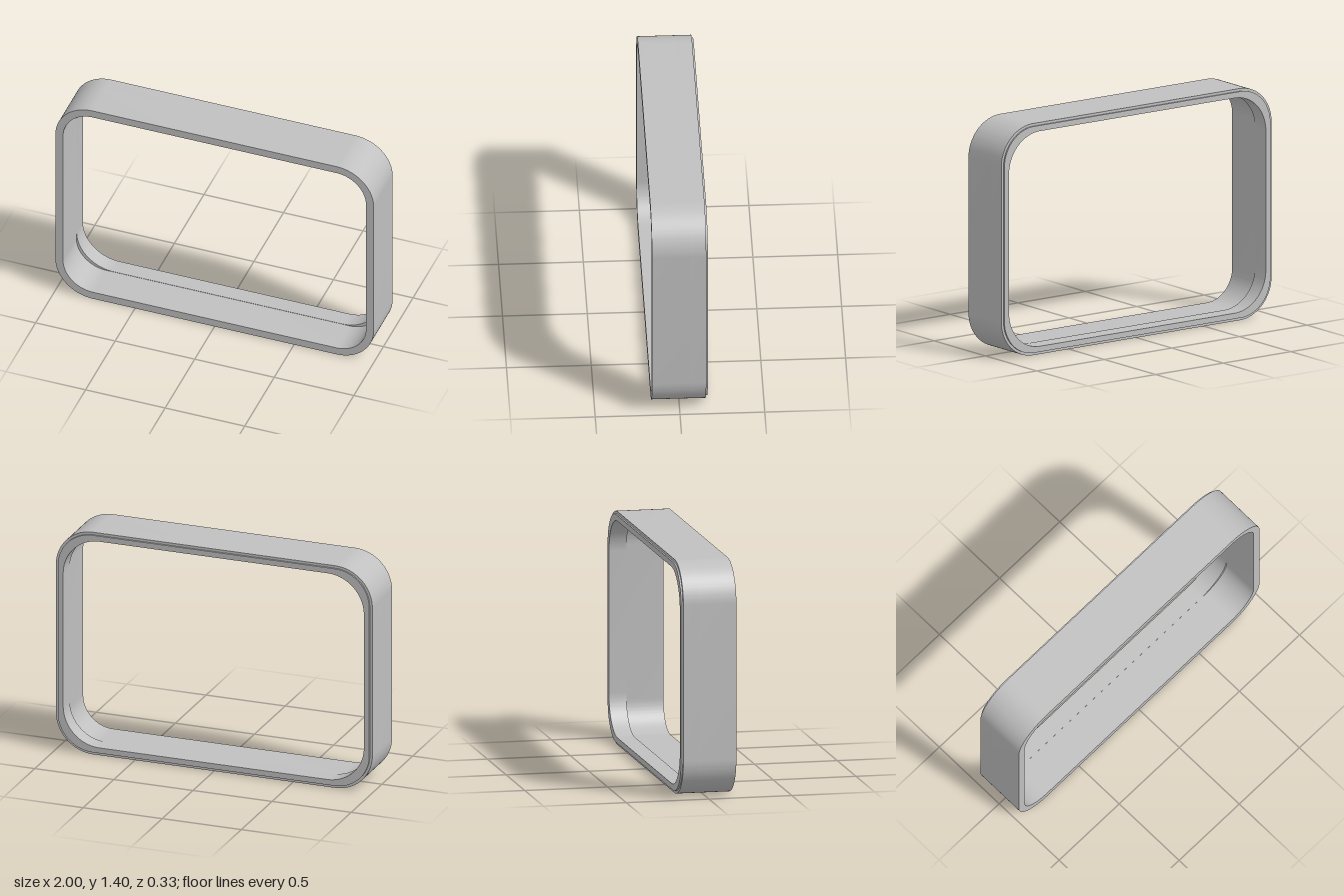
import * as THREE from 'three';
import { toCreasedNormals } from 'three/addons/utils/BufferGeometryUtils.js';

const WIDTH = 2, HEIGHT = 1.4, RADIUS = 0.235;

// Rounded rectangle inset from the outer outline
function roundedRect(path, inset, r) {
  const x = WIDTH / 2 - inset, y0 = inset, y1 = HEIGHT - inset;
  path.moveTo(-x + r, y0);
  path.lineTo(x - r, y0);
  path.absarc(x - r, y0 + r, r, -Math.PI / 2, 0, false);
  path.lineTo(x, y1 - r);
  path.absarc(x - r, y1 - r, r, 0, Math.PI / 2, false);
  path.lineTo(-x + r, y1);
  path.absarc(-x + r, y1 - r, r, Math.PI / 2, Math.PI, false);
  path.lineTo(-x, y0 + r);
  path.absarc(-x + r, y0 + r, r, Math.PI, Math.PI * 1.5, false);
  return path;
}

export function createModel() {
  const group = new THREE.Group();
  const grey = new THREE.MeshStandardMaterial({ color: 0xc0c0c0 });
  grey.name = 'grey';

  // One ring of the frame between two depths
  function ring(name, outerInset, innerInset, innerRadius, zBack, zFront) {
    const shape = roundedRect(new THREE.Shape(), outerInset, RADIUS - outerInset);
    shape.holes.push(roundedRect(new THREE.Path(), innerInset, innerRadius));
    const geometry = new THREE.ExtrudeGeometry(shape, {
      depth: zFront - zBack, bevelEnabled: false, curveSegments: 20,
    });
    geometry.translate(0, 0, zBack);
    const mesh = new THREE.Mesh(toCreasedNormals(geometry, Math.PI / 6), grey);
    mesh.name = name;
    group.add(mesh);
  }

  ring('frontFrame', 0, 0.048, 0.187, -0.06, 0.165);
  // Rear part has fuller inner corners, leaving a crescent ledge
  ring('rearFrame', 0, 0.05, 0.23, -0.155, -0.06);
  // Shallow inset lip on the back edge
  ring('backLip', 0.016, 0.05, 0.23, -0.165, -0.155);

  return group;
}
